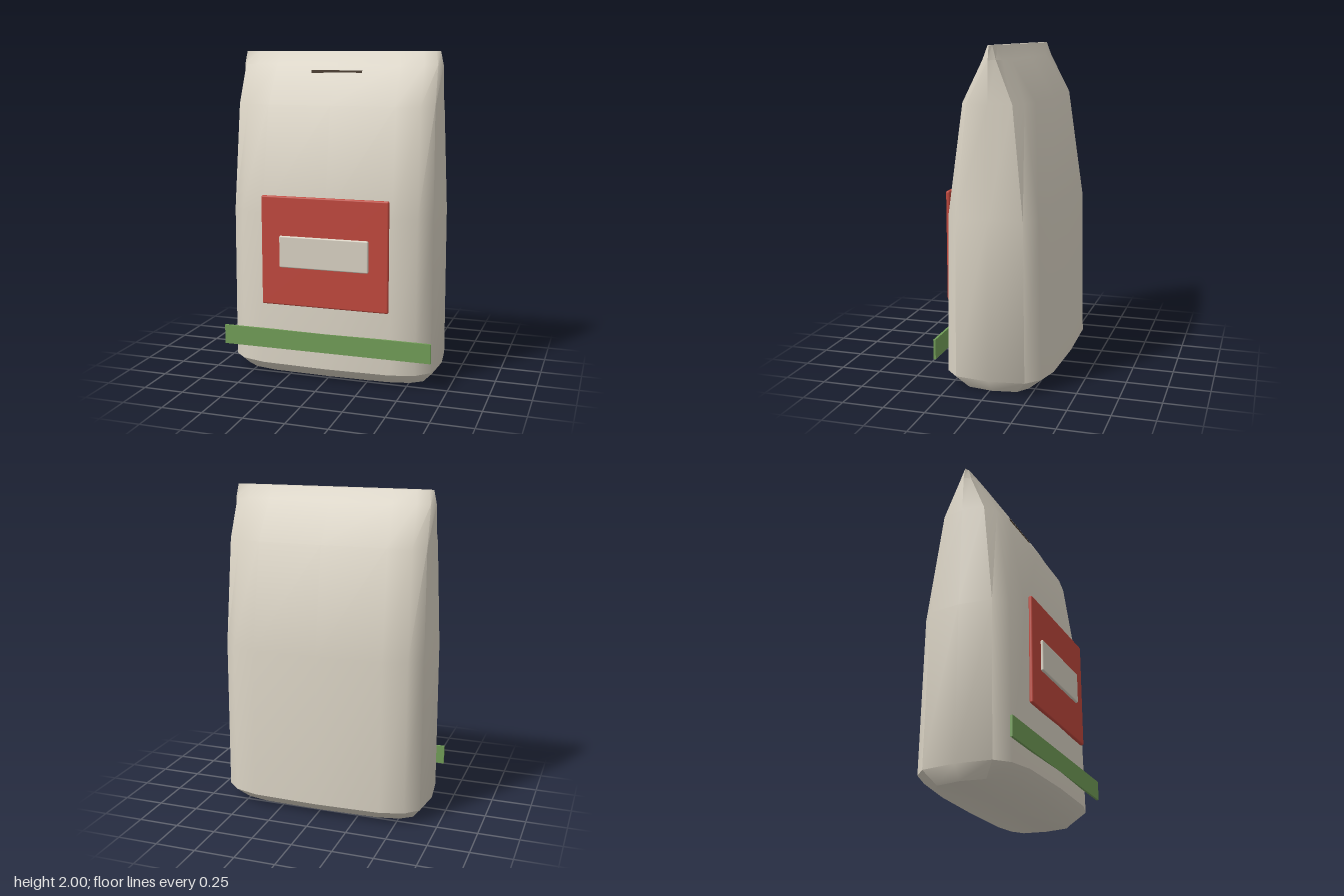
import * as THREE from 'three';
import { toCreasedNormals } from 'three/addons/utils/BufferGeometryUtils.js';
import { RoundedBoxGeometry } from 'three/addons/geometries/RoundedBoxGeometry.js';

const material = (name, color) => {
  const m = new THREE.MeshStandardMaterial({ color });
  m.name = name;
  return m;
};

// Stack of rounded-rectangle rings [y, half width, half depth], capped at both ends
function bagGeometry(rings, sides, zMid) {
  const pos = [], index = [];
  const soft = v => Math.sign(v) * Math.sqrt(Math.abs(v));
  rings.forEach(([y, w, d]) => {
    for (let i = 0; i < sides; i++) {
      const a = (i / sides) * Math.PI * 2;
      pos.push(w * soft(Math.cos(a)), y, zMid + d * soft(Math.sin(a)));
    }
  });
  for (let r = 0; r < rings.length - 1; r++) {
    for (let i = 0; i < sides; i++) {
      const j = (i + 1) % sides;
      const a = r * sides + i, b = r * sides + j;
      index.push(a, a + sides, b, b, a + sides, b + sides);
    }
  }
  // Bottom and top caps
  const bottom = pos.length / 3, top = bottom + 1;
  pos.push(0, rings[0][0], zMid, 0, rings[rings.length - 1][0], zMid);
  const last = (rings.length - 1) * sides;
  for (let i = 0; i < sides; i++) {
    const j = (i + 1) % sides;
    index.push(bottom, i, j, top, last + j, last + i);
  }
  const g = new THREE.BufferGeometry();
  g.setAttribute('position', new THREE.Float32BufferAttribute(pos, 3));
  g.setIndex(index);
  return toCreasedNormals(g, 0.77);
}

export function createModel() {
  const group = new THREE.Group();
  group.name = 'paperBag';
  const paper = material('paper', 0xd9d2c3);
  const red = material('labelRed', 0xc0483d);
  const green = material('bandGreen', 0x719d57);
  const dark = material('slitBrown', 0x4a3c2e);

  const add = (name, geometry, mat, x = 0, y = 0, z = 0) => {
    const mesh = new THREE.Mesh(geometry, mat);
    mesh.name = name;
    mesh.position.set(x, y, z);
    group.add(mesh);
  };

  // Bag body, pinched to a thin top seam
  add('bagBody', bagGeometry([
    [0, 0.6, 0.238],
    [0.08, 0.66, 0.339],
    [1.03, 0.66, 0.322],
    [1.68, 0.645, 0.217],
    [1.92, 0.637, 0.063],
    [2, 0.62, 0.022],
  ], 16, -0.012), paper);

  // Front details
  add('frontLabel', new RoundedBoxGeometry(0.8, 0.675, 0.025, 2, 0.01), red, 0, 0.803, 0.321);
  add('labelWindow', new RoundedBoxGeometry(0.56, 0.195, 0.02, 2, 0.008), paper, 0, 0.803, 0.34);
  add('frontBand', new THREE.BoxGeometry(1.32, 0.12, 0.014), green, 0, 0.242, 0.319);
  add('tearSlit', new THREE.BoxGeometry(0.32, 0.016, 0.014), dark, 0, 1.878, 0.074);

  return group;
}
